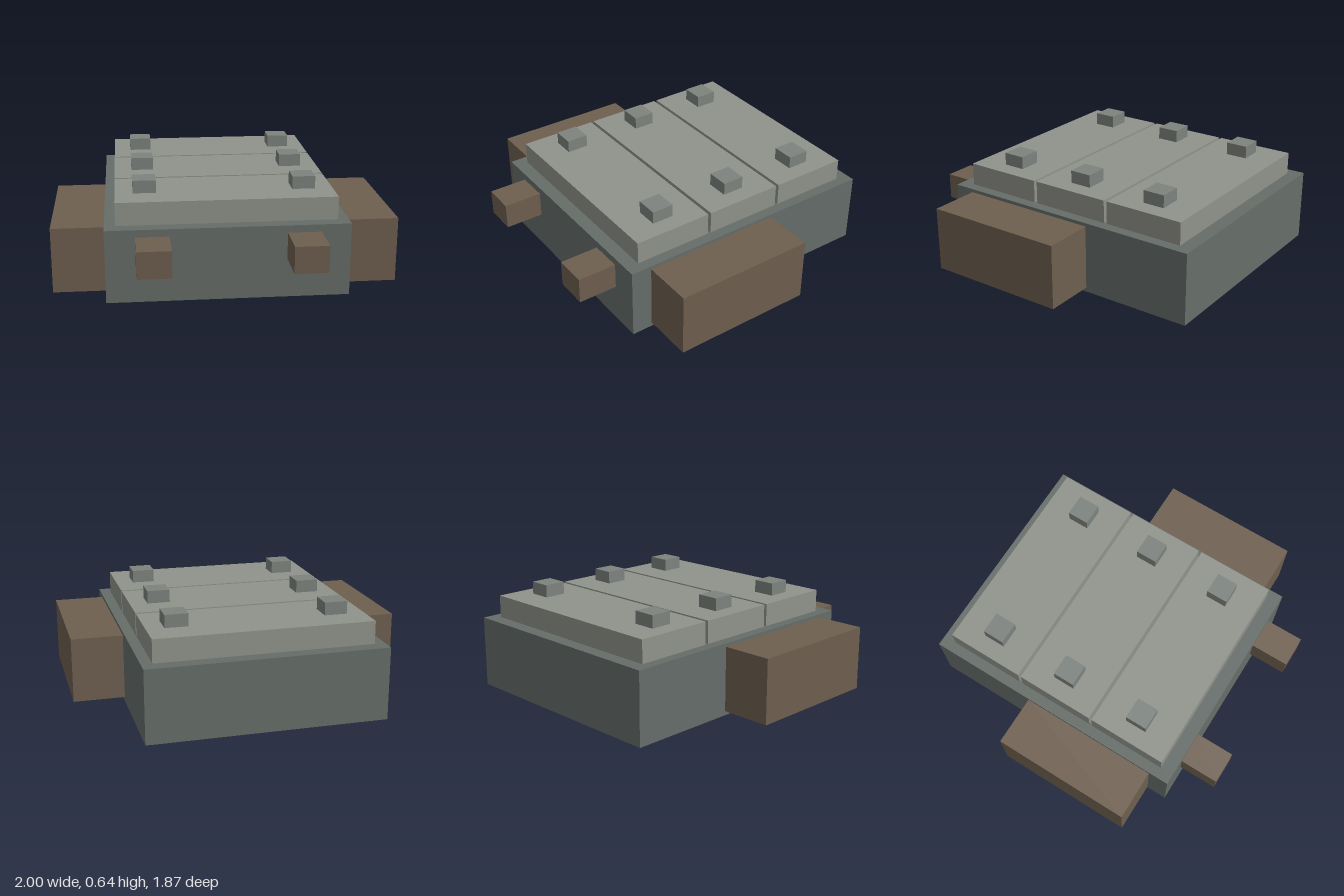
import * as THREE from 'three';

export function createModel() {
  const group = new THREE.Group();
  const paint = (color) => new THREE.MeshStandardMaterial({ color });
  const bodyGrey = paint(0x666d69);
  const panelGrey = paint(0x90938b);
  const knobGrey = paint(0x7d837e);
  const brown = paint(0x6e5f4f);

  // Box with its bottom at y
  const addBox = (name, material, w, h, d, x, y, z) => {
    const mesh = new THREE.Mesh(new THREE.BoxGeometry(w, h, d), material);
    mesh.name = name;
    mesh.position.set(x, y + h / 2, z);
    group.add(mesh);
  };

  const midZ = -0.117;
  addBox('body', bodyGrey, 1.394, 0.43, 1.64, 0, 0, midZ);

  // Three top panels, each with a pair of knobs
  for (const row of [-1, 0, 1]) {
    const z = midZ + row * 0.499;
    addBox('topPanel', panelGrey, 1.268, 0.135, 0.479, 0, 0.43, z);
    for (const side of [-1, 1]) {
      addBox('knob', knobGrey, 0.134, 0.075, 0.132, side * 0.463, 0.565, z);
    }
  }

  // Side blocks and front prongs, mirrored
  for (const side of [-1, 1]) {
    addBox('sideBlock', brown, 0.305, 0.385, 0.853, side * 0.8475, 0.025, 0.151);
    addBox('frontProng', brown, 0.193, 0.157, 0.237, side * 0.429, 0.23, 0.8185);
  }
  return group;
}
